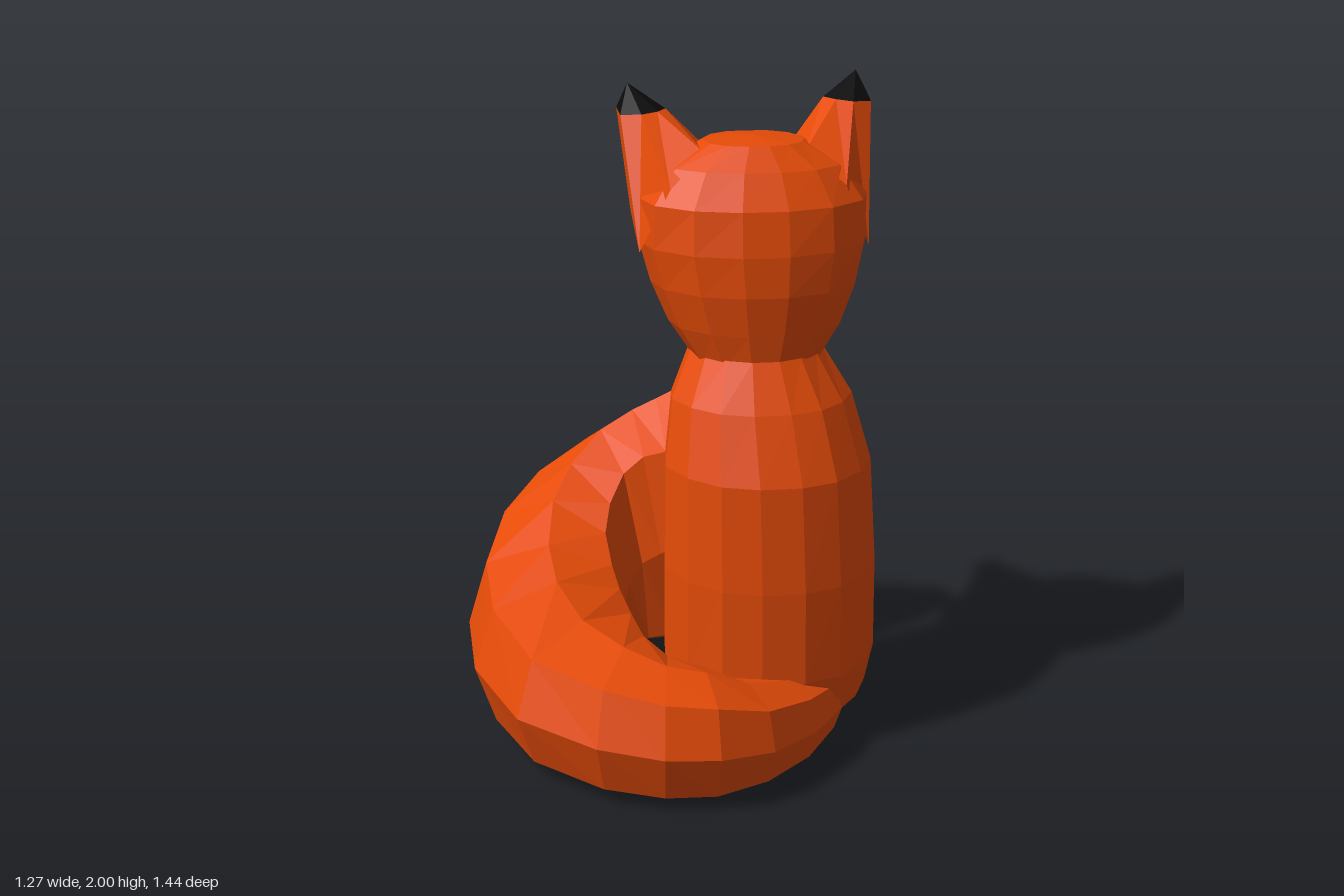
import * as THREE from 'three';

const mat = (color) => new THREE.MeshStandardMaterial({ color, flatShading: true, side: THREE.DoubleSide });
const V = (x, y, z) => new THREE.Vector3(x, y, z);

// Skin between rings of points, over columns j0..j1 (indices wrap round the ring)
function loft(name, rings, material, j0 = 0, j1 = rings[0].length) {
  const pos = [];
  const add = (...ps) => ps.forEach((p) => pos.push(p.x, p.y, p.z));
  const n = rings[0].length;
  for (let i = 0; i < rings.length - 1; i++) {
    for (let j = j0; j < j1; j++) {
      const a = (j + n) % n, b = (j + 1 + n) % n;
      const p = rings[i], q = rings[i + 1];
      add(p[a], q[a], p[b], p[b], q[a], q[b]);
    }
  }
  const geo = new THREE.BufferGeometry();
  geo.setAttribute('position', new THREE.Float32BufferAttribute(pos, 3));
  geo.computeVertexNormals();
  const mesh = new THREE.Mesh(geo, material);
  mesh.name = name;
  return mesh;
}

// Horizontal ring from half an outline, [y, centre x, half width, back z, front z]
function ring(half, [y, cx, a, zb, zf]) {
  const mirrored = half.slice(1).reverse().map(([x, z]) => [-x, z]);
  const cz = (zb + zf) / 2, d = (zb - zf) / 2;
  return [...half, ...mirrored].map(([x, z]) => V(cx + x * a, y, cz + z * d));
}

const collapse = (r, p) => r.map(() => p);

export function createModel() {
  const orange = mat(0xe54b08), white = mat(0xcccccc), black = mat(0x0a0a0a);
  const model = new THREE.Group();
  model.name = 'fox';

  // Body, with a flattened pale chest at -z
  const bodyHalf = [[0, -1], [0.45, -0.98], [0.83, -0.65], [0.97, -0.25], [1, 0.12], [0.83, 0.54], [0.55, 0.86], [0.2, 1]];
  const body = [
    [0.03, 0.3, 0.25, 0.28, -0.2], [0.12, 0.3, 0.31, 0.36, -0.21], [0.25, 0.3, 0.33, 0.385, -0.195],
    [0.55, 0.295, 0.327, 0.39, -0.165], [0.88, 0.285, 0.315, 0.37, -0.155],
    [1.08, 0.27, 0.275, 0.29, -0.155], [1.22, 0.26, 0.2, 0.21, -0.18],
  ].map((r) => ring(bodyHalf, r));
  const nb = body[0].length;
  model.add(loft('body', body, orange, 2, nb - 2));
  model.add(loft('chest', body, white, -2, 2));
  model.add(loft('bodyBase', [collapse(body[0], V(0.3, 0.03, 0.05)), body[0]], white));

  // Head, with pale cheeks low at the front
  const headHalf = [[0, -1], [0.4, -0.98], [0.78, -0.68], [0.98, -0.22], [1, 0.12], [0.91, 0.52], [0.6, 0.85], [0.2, 1]];
  const head = [
    [1.19, 0.26, 0.19, 0.2, -0.19], [1.3, 0.26, 0.265, 0.215, -0.27], [1.42, 0.258, 0.315, 0.23, -0.33],
    [1.54, 0.255, 0.345, 0.225, -0.345], [1.67, 0.255, 0.34, 0.2, -0.29],
    [1.77, 0.255, 0.27, 0.135, -0.225], [1.835, 0.255, 0.15, 0.07, -0.17],
  ].map((r) => ring(headHalf, r));
  const nh = head[0].length;
  head.push(collapse(head[0], V(0.255, 1.85, -0.03)));
  model.add(loft('headBack', head.slice(0, 3), orange, 3, nh - 3));
  model.add(loft('cheeks', head.slice(0, 3), white, -3, 3));
  model.add(loft('headTop', head.slice(2), orange));

  // Snout: [z, half width, top y, side y, bottom y]
  const snout = [
    [-0.2, 0.19, 1.6, 1.42, 1.19], [-0.33, 0.14, 1.53, 1.4, 1.26],
    [-0.44, 0.085, 1.465, 1.375, 1.305], [-0.54, 0.04, 1.415, 1.37, 1.335],
  ].map(([z, w, top, mid, bot]) => [
    [0, top], [-0.5, top - 0.015], [-1, mid], [-0.5, bot + 0.01], [0, bot], [0.5, bot + 0.01], [1, mid], [0.5, top - 0.015],
  ].map(([x, y]) => V(0.26 + x * w, y, z)));
  model.add(loft('snoutTop', snout, orange, -2, 2));
  model.add(loft('jaw', snout, white, 2, 6));

  // Nose
  const noseRing = (z, r) => Array.from({ length: 6 }, (_, i) => {
    const t = (i / 6) * Math.PI * 2;
    return V(0.26 - Math.sin(t) * r, 1.374 + Math.cos(t) * r, z - Math.cos(t) * r * 0.25);
  });
  const nose = [noseRing(-0.525, 0.045), noseRing(-0.555, 0.04)];
  model.add(loft('nose', [...nose, collapse(nose[0], V(0.26, 1.38, -0.568))], black));

  // Eyes and ears, mirrored about the middle of the head
  for (const s of [-1, 1]) {
    const side = s > 0 ? 'left' : 'right';
    const eye = new THREE.Mesh(new THREE.SphereGeometry(1, 6, 4), black);
    eye.name = side + 'Eye';
    eye.scale.set(0.045, 0.034, 0.014);
    eye.position.set(0.255 + s * 0.13, 1.55, -0.33);
    eye.rotation.set(0.4, s * -0.4, s * 0.3);
    model.add(eye);

    const dy = s < 0 ? -0.025 : 0;
    const pts = (list, lift) => list.map(([x, y, z]) => V(0.25 + s * x, y + lift, z));
    // Columns: inner front edge, inner back, back, outer back, outer front edge, hollow
    const base = pts([
      [0.14, 1.81, -0.14], [0.15, 1.81, 0.02], [0.26, 1.72, 0.1], [0.345, 1.52, 0.04], [0.35, 1.6, -0.16], [0.26, 1.67, -0.18],
    ], 0);
    const mid = pts([
      [0.24, 1.93, -0.185], [0.27, 1.93, -0.135], [0.32, 1.925, -0.12], [0.38, 1.92, -0.15], [0.385, 1.93, -0.225], [0.33, 1.92, -0.17],
    ], dy);
    const tip = collapse(mid, V(0.25 + s * 0.35, 2 + dy, -0.24));
    const ear = new THREE.Group();
    ear.name = side + 'Ear';
    ear.add(loft('earBack', [base, mid], orange, 0, 4));
    ear.add(loft('earInside', [base, mid], white, 4, 6));
    ear.add(loft('earTip', [mid, tip], black));
    model.add(ear);
  }

  // Tail curling round the body: [angle, radius, y, half width, half height, rise]
  const tail = [
    [-57, 0.49, 0.13, 0.1, 0.095, 0], [-38, 0.5, 0.145, 0.125, 0.125, 0], [-20, 0.52, 0.165, 0.16, 0.15, 0],
    [-5, 0.525, 0.19, 0.195, 0.185, 0], [8, 0.51, 0.2, 0.215, 0.195, 0], [24, 0.465, 0.215, 0.25, 0.21, 0],
    [48, 0.4, 0.225, 0.285, 0.22, 0], [75, 0.375, 0.255, 0.27, 0.245, 0],
    [100, 0.38, 0.285, 0.26, 0.275, 2], [126, 0.415, 0.325, 0.25, 0.315, 4], [147, 0.455, 0.36, 0.25, 0.355, 6],
    [166, 0.49, 0.4, 0.24, 0.395, 8], [180, 0.48, 0.435, 0.245, 0.42, 9], [193, 0.475, 0.475, 0.255, 0.425, 13],
    [203, 0.485, 0.545, 0.255, 0.395, 19], [209, 0.49, 0.67, 0.225, 0.3, 34],
    [212, 0.485, 0.85, 0.16, 0.18, 55], [214, 0.49, 1.01, 0.09, 0.085, 75],
  ].map(([deg, R, y, w, h, rise], row) => {
    const d = THREE.MathUtils.degToRad(deg), e = THREE.MathUtils.degToRad(rise);
    const hd = Math.min(d, THREE.MathUtils.degToRad(185));
    const centre = V(-Math.sin(d) * R, y, Math.cos(d) * R);
    const out = V(-Math.sin(hd), 0, Math.cos(hd));
    const up = V(Math.cos(hd) * Math.sin(e), Math.cos(e), Math.sin(hd) * Math.sin(e));
    return Array.from({ length: 8 }, (_, i) => {
      const t = (i / 8) * Math.PI * 2, k = i % 2 && row < 13 ? 1.08 : 1;
      return centre.clone().addScaledVector(up, Math.cos(t) * h * k).addScaledVector(out, Math.sin(t) * w * k);
    });
  });
  const root = collapse(tail[0], V(0.45, 0.13, 0.1));
  const end = collapse(tail[0], V(0.28, 1.07, -0.4));
  model.add(loft('tail', [root, ...tail.slice(0, 15)], orange));
  model.add(loft('tailTip', [...tail.slice(14), end], white));

  return model;
}
